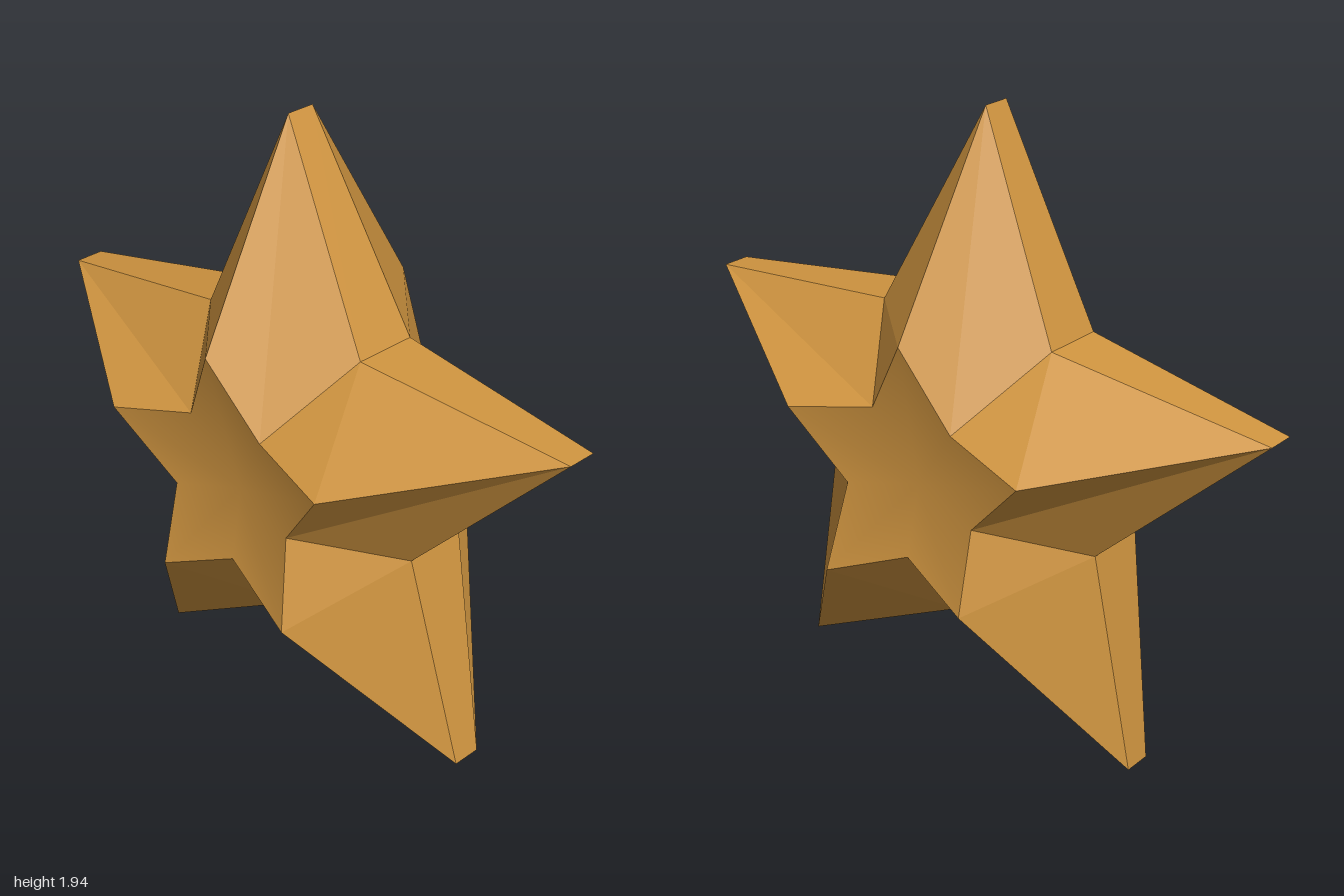
import * as THREE from 'three';

// Outlines run clockwise from the top tip, alternating tip and valley
const OUTER = [[-0.04, 1.945], [0.295, 1.32], [1, 1.26], [0.505, 0.755], [0.657, 0.072],
  [0.025, 0.372], [-0.578, 0.003], [-0.478, 0.707], [-1, 1.17], [-0.315, 1.295]];
const INNER = [[-0.01, 1.33], [0.14, 1.092], [0.415, 1.043], [0.243, 0.825], [0.283, 0.547],
  [0.018, 0.648], [-0.218, 0.55], [-0.218, 0.807], [-0.42, 1.01], [-0.145, 1.077]];

// Gives an outline its depth: one z for tips, another for valleys
const ring = (pts, tipZ, valleyZ, side) =>
  pts.map(([x, y], i) => [x, y, side * (i % 2 ? valleyZ : tipZ)]);

// Unshared quads between two rings, so every facet stays flat
function band(a, b, flip) {
  const pos = [];
  a.forEach((p, i) => {
    const j = (i + 1) % a.length;
    const quad = [p, b[i], b[j], a[j]];
    if (flip) quad.reverse();
    for (const k of [0, 1, 2, 0, 2, 3]) pos.push(...quad[k]);
  });
  const g = new THREE.BufferGeometry();
  g.setAttribute('position', new THREE.Float32BufferAttribute(pos, 3));
  g.computeVertexNormals();
  return g;
}

// Shallow smooth dish closing the inner star
function dish(edge, centre, flip) {
  const index = [];
  edge.forEach((_, i) => {
    const j = (i + 1) % edge.length;
    index.push(0, ...(flip ? [i + 1, j + 1] : [j + 1, i + 1]));
  });
  const g = new THREE.BufferGeometry();
  g.setAttribute('position', new THREE.Float32BufferAttribute([centre, ...edge].flat(), 3));
  g.setIndex(index);
  g.computeVertexNormals();
  return g;
}

export function createModel() {
  const group = new THREE.Group();
  group.name = 'star';
  const gold = new THREE.MeshStandardMaterial({ color: 0xd09540 });
  gold.name = 'gold';
  const flatGold = gold;
  const add = (name, geometry) => {
    const mesh = new THREE.Mesh(geometry, flatGold);
    mesh.name = name;
    group.add(mesh);
  };

  // Sloped arms and dished centre, front and back
  for (const [label, side] of [['front', 1], ['back', -1]]) {
    const outer = ring(OUTER, 0.047, 0.102, side);
    const inner = ring(INNER, 0.405, 0.345, side);
    add(label + 'Arms', band(outer, inner, side < 0));
    add(label + 'Centre', dish(inner, [0.01, 0.87, side * 0.3], side < 0));
  }

  // Narrow rim joining both halves
  add('rim', band(ring(OUTER, 0.047, 0.102, 1), ring(OUTER, 0.047, 0.102, -1), true));
  return group;
}
